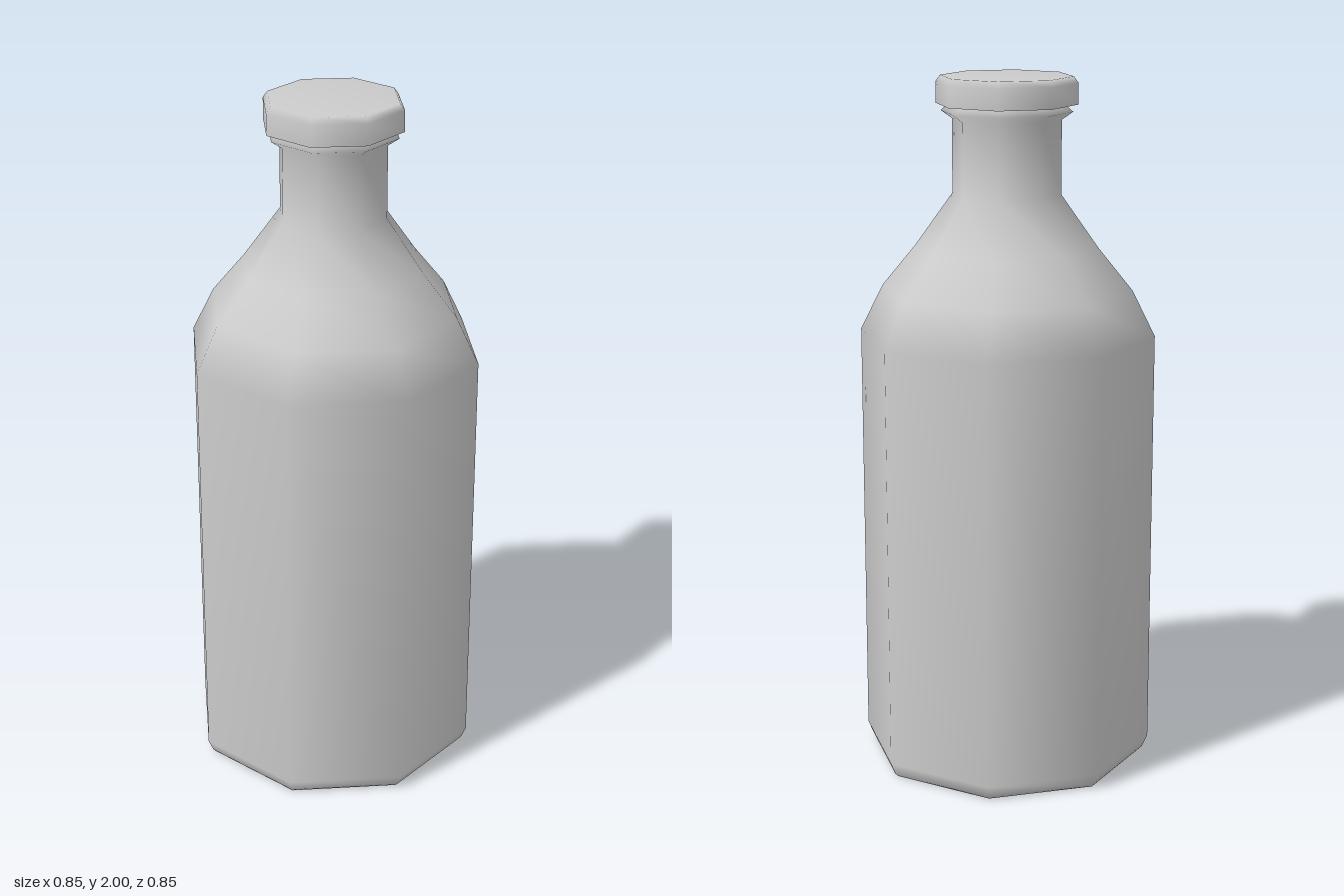
import * as THREE from 'three';

const SIDES = 8;

// Smooth-shaded octagonal turning; profile is [radius, height] from bottom to top
function turned(name, profile, material) {
  const points = profile.map(([r, y]) => new THREE.Vector2(r, y));
  const mesh = new THREE.Mesh(new THREE.LatheGeometry(points, SIDES), material);
  mesh.name = name;
  return mesh;
}

export function createModel() {
  const group = new THREE.Group();
  group.name = 'bottle';
  const grey = new THREE.MeshStandardMaterial({ color: 0xcccccc, side: THREE.DoubleSide });

  // Bevelled base, straight wall, sloping shoulder, neck and flared lip
  group.add(turned('bottleBody', [
    [0, 0], [0.4, 0], [0.41, 0.01], [0.425, 0.045], [0.425, 1.27],
    [0.36, 1.4], [0.262, 1.52], [0.155, 1.67], [0.155, 1.88],
    [0.187, 1.902], [0.16, 1.925],
  ], grey));

  // Cap with a bevelled top edge
  group.add(turned('capUnderside', [[0, 1.922], [0.201, 1.922]], grey));
  group.add(turned('cap', [
    [0.201, 1.922], [0.201, 1.982], [0.188, 2], [0, 2],
  ], grey));

  return group;
}
